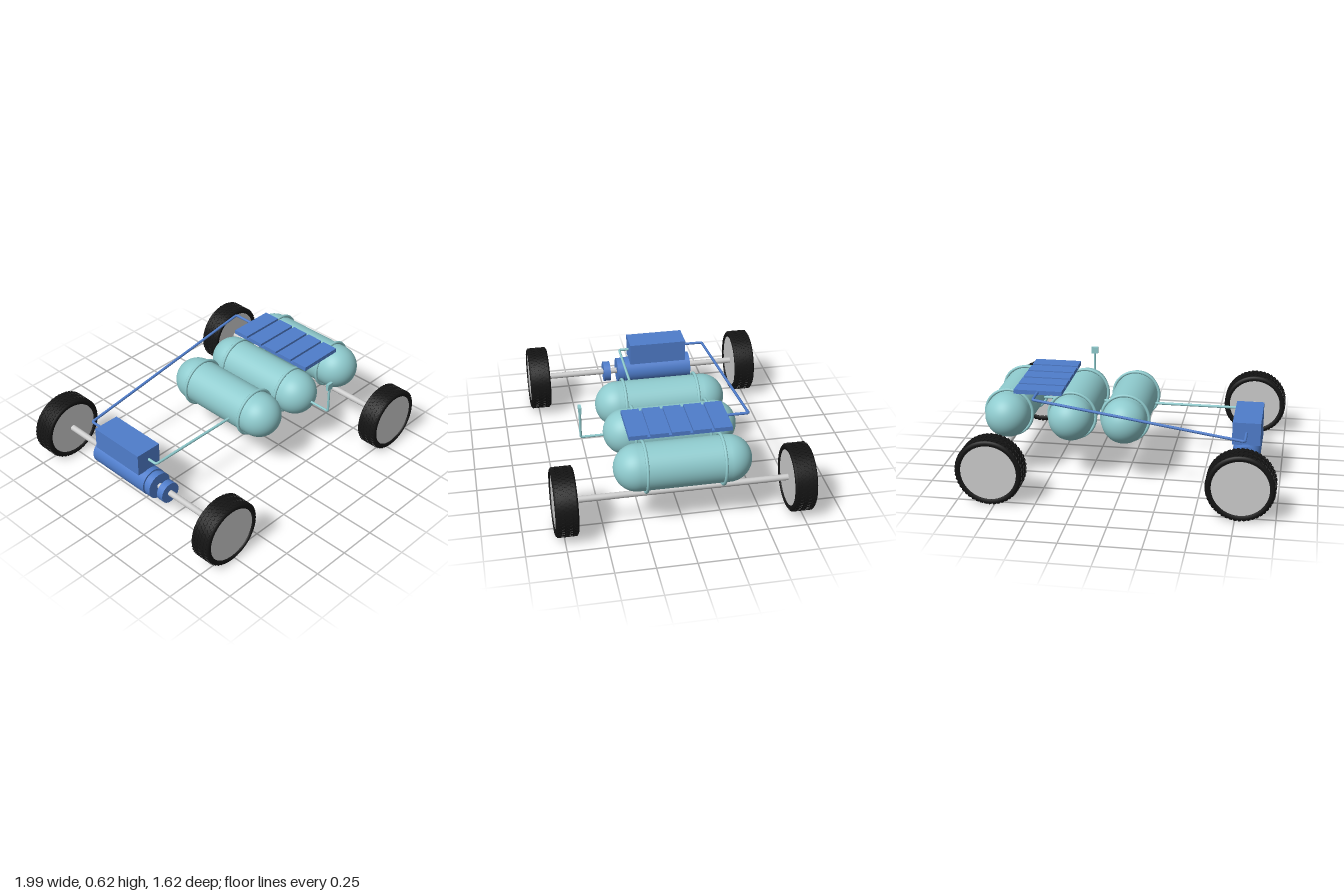
import * as THREE from 'three';
import { mergeGeometries } from 'three/addons/utils/BufferGeometryUtils.js';

const material = (color) => new THREE.MeshStandardMaterial({ color });
const grey = material(0xcccccc);
const black = material(0x141414);
const teal = material(0x8fcbce);
const blue = material(0x4f7dcb);

export function createModel() {
  const model = new THREE.Group();

  const add = (parent, name, geometry, mat, x = 0, y = 0, z = 0) => {
    const mesh = new THREE.Mesh(geometry, mat);
    mesh.name = name;
    mesh.position.set(x, y, z);
    parent.add(mesh);
    return mesh;
  };
  // cylinder lying along z
  const rod = (r, length, sides = 48) =>
    new THREE.CylinderGeometry(r, r, length, sides).rotateX(Math.PI / 2);
  // pipe with tight bends through a list of points
  const pipe = (name, points, r, mat) => {
    const pts = points.map((p) => new THREE.Vector3(...p));
    const path = new THREE.CurvePath();
    let start = pts[0];
    for (let i = 1; i < pts.length; i++) {
      if (i === pts.length - 1) {
        path.add(new THREE.LineCurve3(start, pts[i]));
        break;
      }
      const before = pts[i].clone().add(pts[i - 1].clone().sub(pts[i]).setLength(0.015));
      const after = pts[i].clone().add(pts[i + 1].clone().sub(pts[i]).setLength(0.015));
      path.add(new THREE.LineCurve3(start, before));
      path.add(new THREE.QuadraticBezierCurve3(before, pts[i], after));
      start = after;
    }
    add(model, name, new THREE.TubeGeometry(path, 240, r, 12), mat);
  };

  // tyre cross-section: radius, half-width position
  const tyreProfile = [
    [0.178, -0.066], [0.19, -0.071], [0.2, -0.071], [0.208, -0.066], [0.212, -0.058],
    [0.212, 0.058], [0.208, 0.066], [0.2, 0.071], [0.19, 0.071], [0.178, 0.066], [0.178, -0.066],
  ].map(([r, y]) => new THREE.Vector2(r, y));
  const tyreGeometry = new THREE.LatheGeometry(tyreProfile, 72).rotateX(Math.PI / 2);

  // slanted tread blocks in alternating rows
  const lugs = [];
  for (let row = 0; row < 5; row++) {
    for (let i = 0; i < 48; i++) {
      const lug = new THREE.BoxGeometry(0.018, 0.007, 0.02);
      lug.rotateY(row % 2 ? 0.4 : -0.4);
      lug.translate(0, 0.2125, (row - 2) * 0.0245);
      lug.rotateZ(((i + (row % 2) / 2) / 48) * Math.PI * 2);
      lugs.push(lug);
    }
  }
  const treadGeometry = mergeGeometries(lugs);

  // wheels and axles
  for (const x of [-0.78, 0.78]) {
    add(model, 'axle', rod(0.02, 1.48, 24), grey, x, 0.222, 0);
    for (const z of [-0.737, 0.737]) {
      const wheel = new THREE.Group();
      wheel.name = 'wheel';
      wheel.position.set(x, 0.218, z);
      add(wheel, 'tyre', tyreGeometry, black);
      add(wheel, 'tread', treadGeometry, black);
      add(wheel, 'wheelDisc', rod(0.179, 0.126, 72), grey);
      model.add(wheel);
    }
  }

  // gas tanks with retaining bands
  for (const x of [0.01, 0.36, 0.78]) {
    const tank = new THREE.Group();
    tank.name = 'tank';
    tank.position.set(x, 0.412, 0);
    add(tank, 'tankBody', new THREE.CapsuleGeometry(0.147, 0.566, 20, 48).rotateX(Math.PI / 2), teal);
    for (const z of [-0.24, 0.24]) {
      add(tank, 'tankBand', new THREE.TorusGeometry(0.156, 0.01, 12, 64), teal, 0, 0, z);
    }
    model.add(tank);
  }

  // motor: stepped body around the axle, plus separate collar
  const motor = new THREE.Group();
  motor.name = 'motor';
  motor.position.set(-0.78, 0.222, 0);
  add(motor, 'motorBody', rod(0.091, 0.475), blue, 0, 0, -0.1225);
  add(motor, 'motorGroove', rod(0.08, 0.03), blue, 0, 0, 0.123);
  add(motor, 'motorEnd', rod(0.088, 0.04), blue, 0, 0, 0.15);
  add(motor, 'motorCollar', rod(0.07, 0.048), blue, 0, 0, 0.244);
  model.add(motor);

  // control box
  add(model, 'controlBox', new THREE.BoxGeometry(0.18, 0.15, 0.4), blue, -0.78, 0.382, -0.12);

  // fuel cell panel: tray with rim and five raised cells
  const panel = new THREE.Group();
  panel.name = 'panel';
  panel.position.set(0.568, 0.572, 0);
  add(panel, 'panelBase', new THREE.BoxGeometry(0.315, 0.012, 0.644), blue, 0, 0.006, 0);
  for (let i = -2; i <= 2; i++) {
    add(panel, 'panelCell', new THREE.BoxGeometry(0.315, 0.016, 0.113), blue, 0, 0.02, i * 0.1325);
  }
  model.add(panel);

  // cable from the panel to the control box
  pipe('powerCable', [
    [0.568, 0.588, -0.31], [0.568, 0.588, -0.46], [-0.78, 0.388, -0.46], [-0.78, 0.388, -0.31],
  ], 0.009, blue);

  // feed line through the tanks
  pipe('feedLine', [[-0.78, 0.385, 0.07], [-0.78, 0.385, 0.147], [0.78, 0.385, 0.147]], 0.009, teal);

  // filler pipe and cap on the middle tank
  pipe('fillerPipe', [[0.36, 0.402, 0.41], [0.36, 0.402, 0.572], [0.36, 0.6, 0.572]], 0.008, teal);
  add(model, 'fillerCap', new THREE.BoxGeometry(0.046, 0.046, 0.018), teal, 0.36, 0.603, 0.572);

  return model;
}
